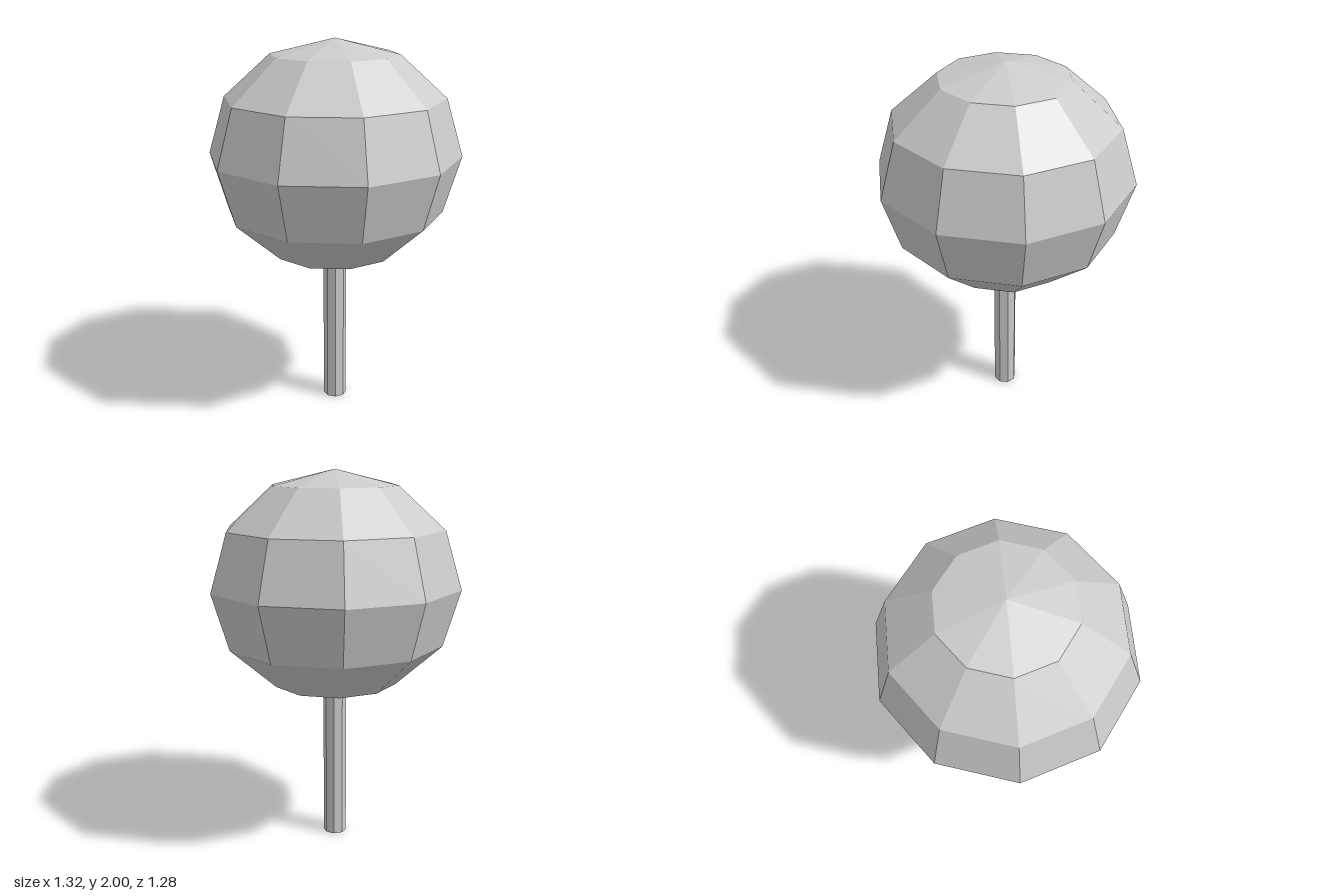
import * as THREE from 'three';

export function createModel() {
  const group = new THREE.Group();
  const grey = new THREE.MeshStandardMaterial({ color: 0xcccccc, flatShading: true });
  grey.name = 'light grey';

  // Faceted round crown, slightly squashed in height
  const crownGeometry = new THREE.SphereGeometry(1, 10, 6).toNonIndexed();
  crownGeometry.scale(0.66, 0.6, 0.673);
  crownGeometry.computeVertexNormals();
  const crown = new THREE.Mesh(crownGeometry, grey);
  crown.name = 'crown';
  crown.position.y = 1.4;
  group.add(crown);

  // Thin eight-sided trunk, ending just inside the crown
  const trunkHeight = 0.84;
  const trunk = new THREE.Mesh(new THREE.CylinderGeometry(0.062, 0.062, trunkHeight, 8), grey);
  trunk.name = 'trunk';
  trunk.position.y = trunkHeight / 2;
  group.add(trunk);

  return group;
}
